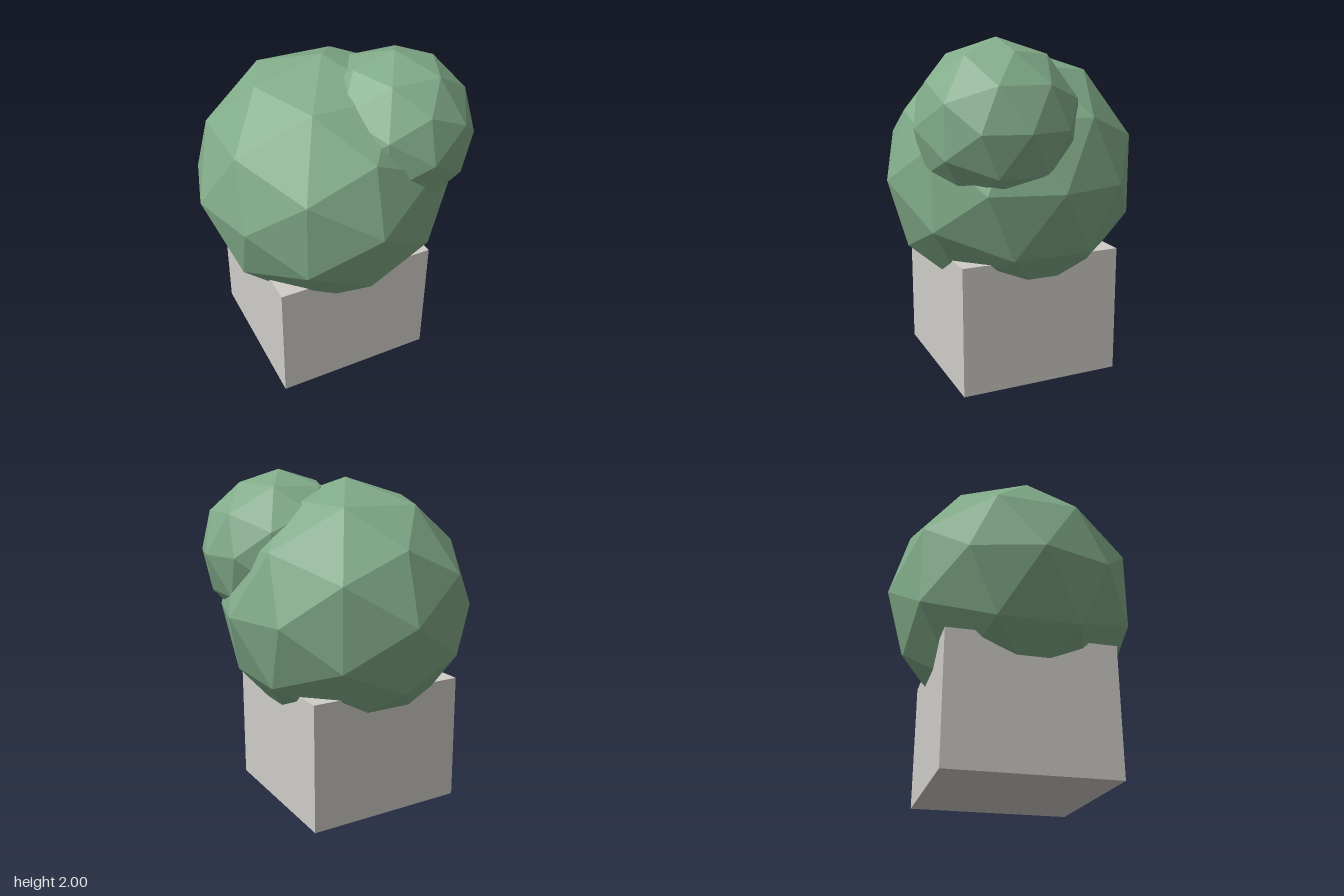
import * as THREE from 'three';

export function createModel() {
  const group = new THREE.Group();
  const leaf = new THREE.MeshStandardMaterial({ color: 0x82ac89 });
  const stone = new THREE.MeshStandardMaterial({ color: 0xcfcdc8 });
  leaf.name = 'leafGreen';
  stone.name = 'paleStone';
  leaf.flatShading = true;

  const add = (name, geometry, material, x, y, z) => {
    const mesh = new THREE.Mesh(geometry, material);
    mesh.name = name;
    mesh.position.set(x, y, z);
    group.add(mesh);
  };

  // square planter block
  add('planter', new THREE.BoxGeometry(0.98, 0.765, 0.98), stone, -0.025, 0.3825, 0);

  // faceted foliage: a large ball with a smaller one growing from its front left
  add('mainFoliage', new THREE.IcosahedronGeometry(0.765, 1), leaf, -0.025, 1.19, 0);
  add('sideFoliage', new THREE.IcosahedronGeometry(0.475, 1), leaf, 0.305, 1.525, 0.22);

  return group;
}
